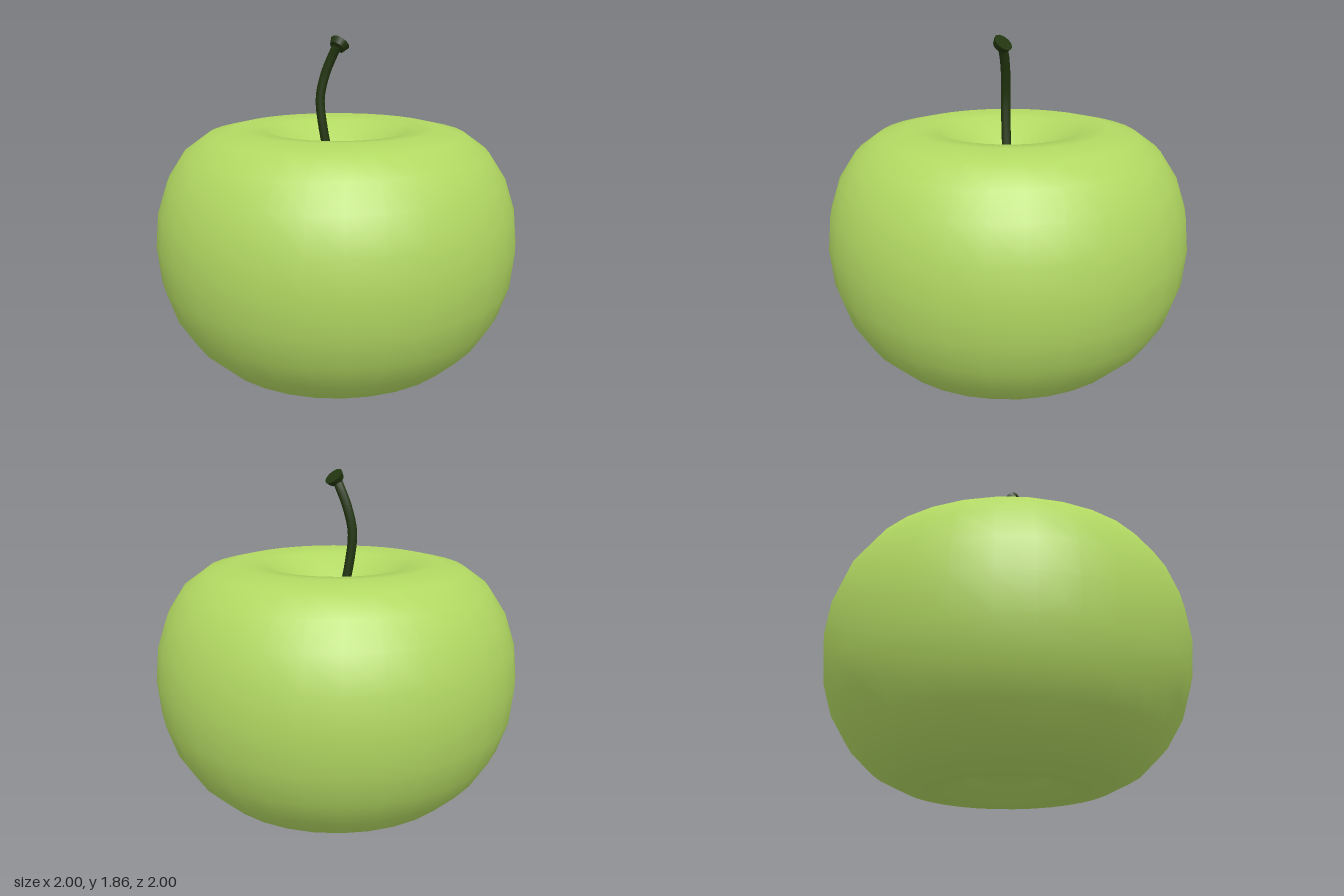
import * as THREE from 'three';
import { mergeVertices } from 'three/addons/utils/BufferGeometryUtils.js';

export function createModel() {
  const model = new THREE.Group();
  const skin = new THREE.MeshStandardMaterial({ color: 0xb2d862 });
  skin.name = 'appleGreen';
  const bark = new THREE.MeshStandardMaterial({ color: 0x22350f });
  bark.name = 'darkStemGreen';

  const add = (name, geometry, material) => {
    const mesh = new THREE.Mesh(geometry, material);
    mesh.name = name;
    model.add(mesh);
    return mesh;
  };

  // Fruit: ring heights from bottom dimple to top dimple, radii spaced as on a sphere
  const heights = [0.17, 0.08, 0.005, 0.035, 0.11, 0.23, 0.38, 0.555, 0.755,
    0.94, 1.11, 1.25, 1.34, 1.375, 1.355, 1.21, 1.08];
  const profile = heights.map((y, i) =>
    new THREE.Vector2(i === 0 || i === 16 ? 0 : Math.sin((i * Math.PI) / 16), y));
  let fruit = new THREE.LatheGeometry(profile, 32);
  // Weld seam and poles so the shading is smooth everywhere
  fruit.deleteAttribute('uv');
  fruit.deleteAttribute('normal');
  fruit = mergeVertices(fruit, 1e-4);
  fruit.computeVertexNormals();
  add('fruit', fruit, skin);

  // Curved stem rising from the dimple
  const path = new THREE.CatmullRomCurve3([
    new THREE.Vector3(-0.01, 1.05, 0),
    new THREE.Vector3(-0.075, 1.38, 0.005),
    new THREE.Vector3(-0.088, 1.53, 0.005),
    new THREE.Vector3(-0.06, 1.66, 0.008),
    new THREE.Vector3(-0.015, 1.77, 0.022),
    new THREE.Vector3(0.005, 1.81, 0.036),
  ]);
  add('stem', new THREE.TubeGeometry(path, 20, 0.026, 10), bark);

  // Flared tip, tilted to the left and back
  const tip = add('stemTip', new THREE.CylinderGeometry(0.055, 0.042, 0.035, 12), bark);
  tip.position.set(0.01, 1.812, 0.035);
  tip.quaternion.setFromUnitVectors(
    new THREE.Vector3(0, 1, 0), new THREE.Vector3(0.5, 0.72, -0.48).normalize());

  return model;
}
